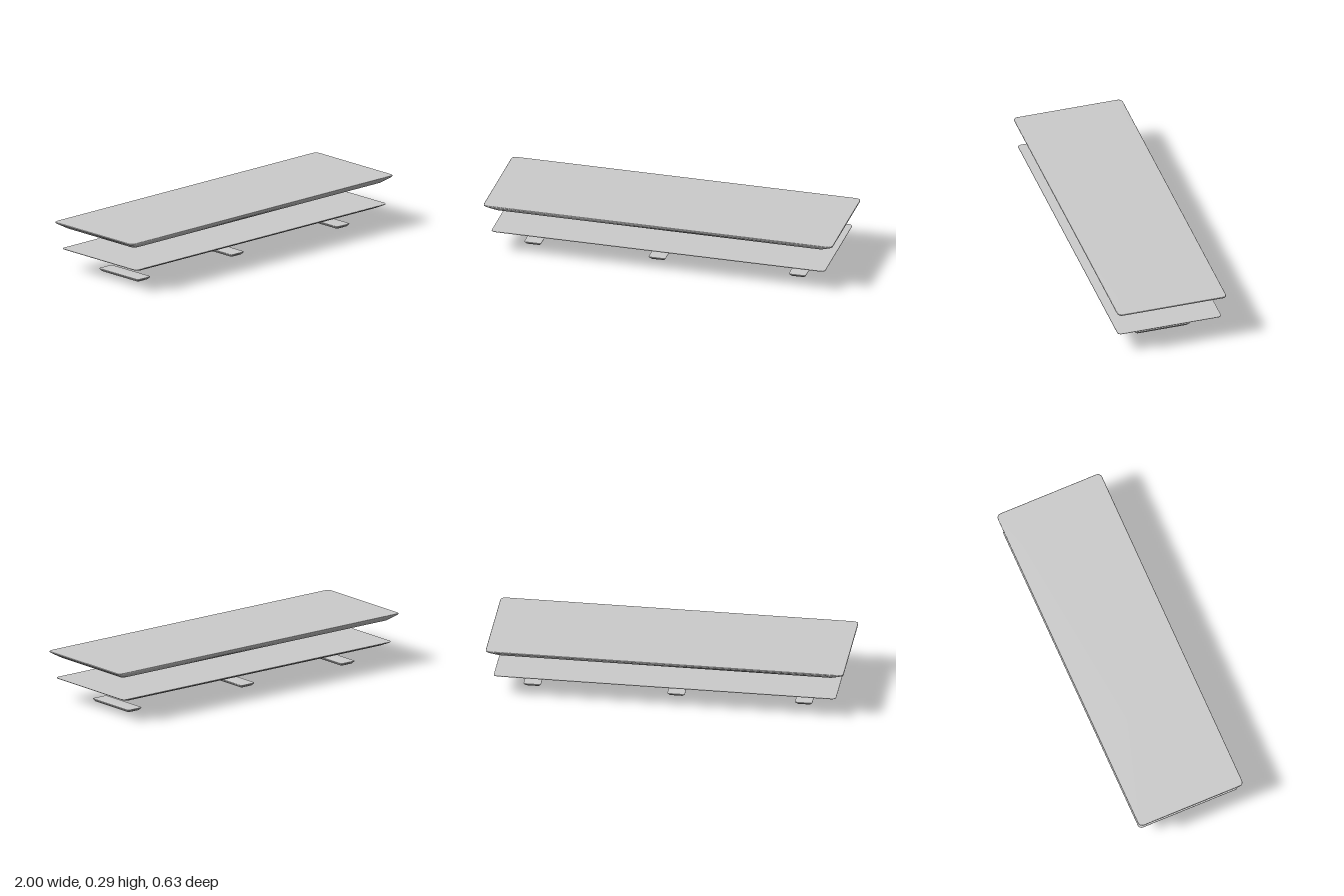
import * as THREE from 'three';

const material = new THREE.MeshStandardMaterial({ color: 0xcccccc });
const CORNER_STEPS = 4;

// Rounded rectangle outline, half sizes a (x) and b (z), corner radius r
function outline(a, b, r) {
  const pts = [];
  for (let c = 0; c < 4; c++) {
    const sx = c === 0 || c === 3 ? 1 : -1;
    const sz = c < 2 ? 1 : -1;
    for (let i = 0; i <= CORNER_STEPS; i++) {
      const t = (c + i / CORNER_STEPS) * Math.PI / 2;
      pts.push([sx * (a - r) + r * Math.cos(t), sz * (b - r) + r * Math.sin(t)]);
    }
  }
  return pts;
}

// Closed slab lofted through sections [y, halfX, halfZ], smooth across its edges
function slab(name, sections, radius, x, z) {
  const pos = [], index = [];
  const n = 4 * (CORNER_STEPS + 1);
  for (const [y, a, b] of sections) {
    for (const [px, pz] of outline(a, b, radius)) pos.push(px, y, pz);
  }
  const last = sections.length - 1;
  const bottom = pos.length / 3, top = bottom + 1;
  pos.push(0, sections[0][0], 0, 0, sections[last][0], 0);
  for (let i = 0; i < n; i++) {
    const j = (i + 1) % n;
    for (let s = 0; s < last; s++) {
      const l = s * n, u = l + n;
      index.push(l + i, u + i, l + j, l + j, u + i, u + j);
    }
    index.push(bottom, i, j, top, last * n + j, last * n + i);
  }
  const geo = new THREE.BufferGeometry();
  geo.setAttribute('position', new THREE.Float32BufferAttribute(pos, 3));
  geo.setIndex(index);
  geo.computeVertexNormals();
  const mesh = new THREE.Mesh(geo, material);
  mesh.name = name;
  mesh.position.set(x, 0, z);
  return mesh;
}

export function createModel() {
  const group = new THREE.Group();
  group.name = 'layeredPanels';

  // Upper panel, thickest, with a sloping underside rim
  group.add(slab('upperPanel', [
    [0.252, 0.948, 0.278], [0.278, 0.992, 0.309], [0.283, 1, 0.314],
    [0.288, 1, 0.314], [0.29, 0.997, 0.311],
  ], 0.025, 0, 0));

  // Lower panel, thinner and slightly smaller
  group.add(slab('lowerPanel', [
    [0.11, 0.914, 0.266], [0.125, 0.951, 0.296], [0.128, 0.957, 0.3],
    [0.131, 0.956, 0.299],
  ], 0.02, 0, 0.0025));

  // Three small feet strips
  [['rightFoot', -0.757], ['middleFoot', -0.044], ['leftFoot', 0.76]].forEach(([name, x]) => {
    group.add(slab(name, [
      [0, 0.039, 0.147], [0.01, 0.047, 0.156], [0.013, 0.049, 0.158], [0.016, 0.048, 0.157],
    ], 0.008, x, 0.001));
  });

  return group;
}
